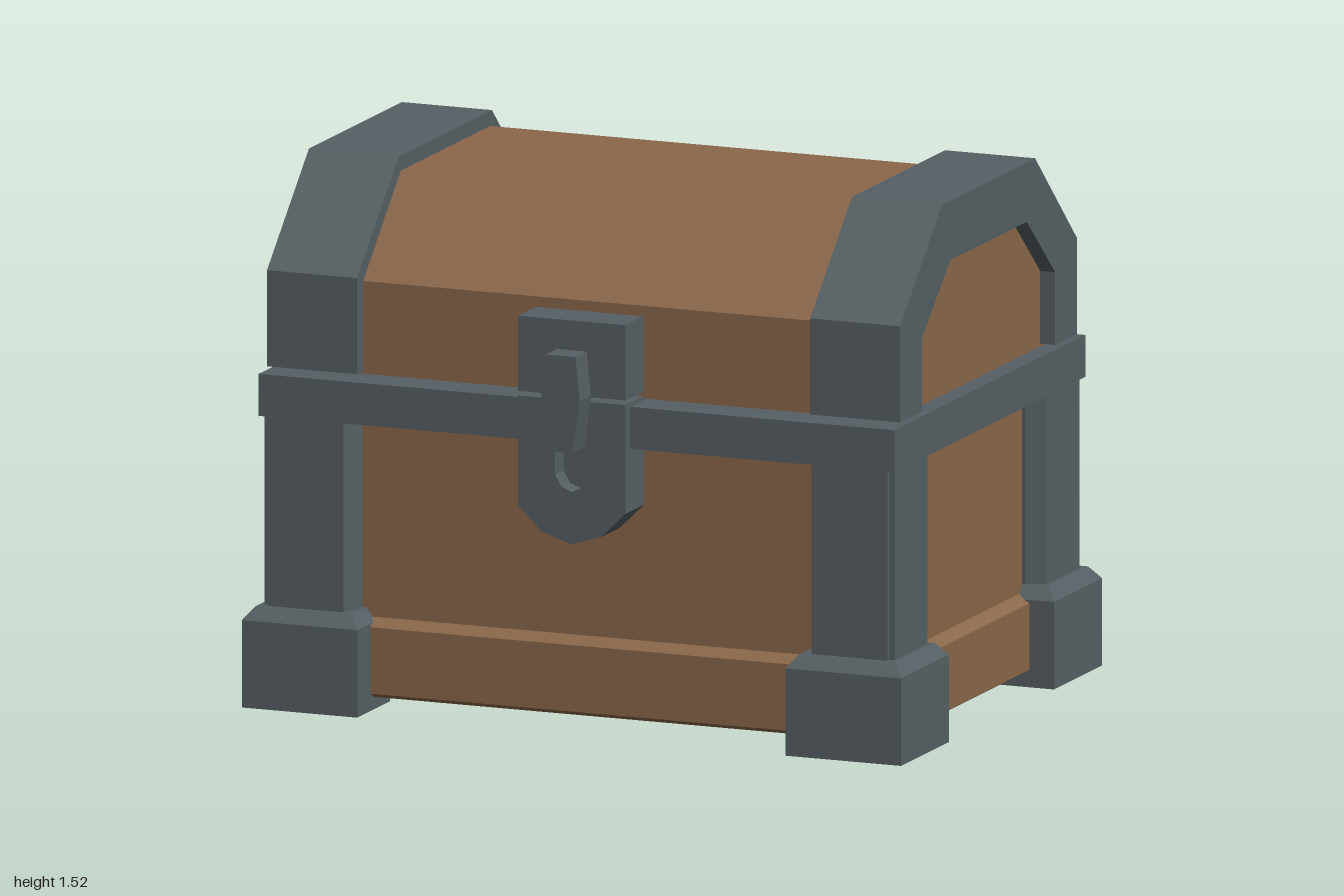
import * as THREE from 'three';

const wood = new THREE.MeshStandardMaterial({ color: 0x8a674a });
wood.name = 'wood';
const iron = new THREE.MeshStandardMaterial({ color: 0x555f63 });
iron.name = 'iron';

// Flat-sided solid through stacked outlines: rings = [[y, [[x, z], ...]], ...] from bottom to top
function loft(rings) {
  const flip = THREE.ShapeUtils.isClockWise(rings[0][1].map(([x, z]) => new THREE.Vector2(x, z)));
  const loops = rings.map(([y, pts]) => {
    const loop = pts.map(([x, z]) => new THREE.Vector3(x, y, z));
    return flip ? loop.reverse() : loop;
  });
  const out = [];
  const tri = (...vs) => vs.forEach((v) => out.push(v.x, v.y, v.z));
  const n = loops[0].length;
  for (let r = 0; r + 1 < loops.length; r++) {
    const lo = loops[r], hi = loops[r + 1];
    for (let i = 0; i < n; i++) {
      const j = (i + 1) % n;
      tri(lo[i], hi[i], hi[j]);
      tri(lo[i], hi[j], lo[j]);
    }
  }
  const cap = (loop, up) => {
    const flat = loop.map((v) => new THREE.Vector2(v.x, v.z));
    for (const [a, b, c] of THREE.ShapeUtils.triangulateShape(flat, [])) {
      if (up) tri(loop[a], loop[c], loop[b]);
      else tri(loop[a], loop[b], loop[c]);
    }
  };
  cap(loops[0], false);
  cap(loops[loops.length - 1], true);
  const g = new THREE.BufferGeometry();
  g.setAttribute('position', new THREE.Float32BufferAttribute(out, 3));
  g.computeVertexNormals();
  return g;
}

const rect = (x, z) => [[-x, -z], [x, -z], [x, z], [-x, z]];
const shapeOf = (pts) => new THREE.Shape(pts.map(([x, y]) => new THREE.Vector2(x, y)));
const extrude = (shape, depth) => new THREE.ExtrudeGeometry(shape, { depth, bevelEnabled: false });
// Profile drawn in (z, y), extruded along x and centred
const extrudeX = (pts, w) => extrude(shapeOf(pts), w).translate(0, 0, -w / 2).rotateY(Math.PI / 2);
const arch = (z, y0, yShoulder, zTop, yTop) =>
  [[z, y0], [z, yShoulder], [zTop, yTop], [-zTop, yTop], [-z, yShoulder], [-z, y0]];

export function createModel() {
  const model = new THREE.Group();
  model.name = 'chest';
  const add = (name, geometry, material, parent = model) => {
    const m = new THREE.Mesh(geometry, material);
    m.name = name;
    parent.add(m);
    return m;
  };
  const box = (name, x0, x1, y0, y1, z0, z1, parent) =>
    add(name, new THREE.BoxGeometry(x1 - x0, y1 - y0, z1 - z0)
      .translate((x0 + x1) / 2, (y0 + y1) / 2, (z0 + z1) / 2), iron, parent);

  const shell = new THREE.Group();
  shell.name = 'shell';
  shell.position.z = -0.005;
  model.add(shell);

  // Wooden body with a stepped base
  add('body', loft([
    [0.035, rect(0.9, 0.6)], [0.05, rect(0.925, 0.63)], [0.24, rect(0.925, 0.63)],
    [0.262, rect(0.89, 0.59)], [0.945, rect(0.89, 0.59)],
  ]), wood, shell);

  // Wooden lid
  add('lid', extrudeX(arch(0.592, 0.955, 1.22, 0.322, 1.482), 1.83), wood, shell);

  // Iron rail around the rim
  const rail = shapeOf(rect(0.965, 0.688));
  rail.holes.push(new THREE.Path(rect(0.86, 0.56).map(([x, y]) => new THREE.Vector2(x, y))));
  add('rimRail', extrude(rail, 0.12).rotateX(-Math.PI / 2).translate(0, 0.83, 0), iron, shell);

  // Arched iron bands at both ends of the lid
  const band = [...arch(0.637, 0.962, 1.237, 0.335, 1.525),
    ...arch(0.48, 0.962, 1.17, 0.275, 1.355).reverse()];
  for (const s of [-1, 1]) {
    add('lidBand', extrudeX(band, 0.273).translate(s * 0.824, 0, 0), iron, shell);
  }

  // L-shaped corner posts and feet
  const post = [[0.69, 0.56], [0.69, 0.6], [0.71, 0.68], [0.94, 0.68], [0.94, 0.665],
    [0.957, 0.665], [0.957, 0.43], [0.9, 0.41], [0.86, 0.41], [0.86, 0.56]];
  const foot = (i) => [[0.65 + i, 0.49], [0.65 + i, 0.724 - i], [1 - i, 0.724 - i],
    [1 - i, 0.378 + i], [0.77, 0.378 + i], [0.77, 0.49]];
  for (const sx of [-1, 1]) for (const sz of [-1, 1]) {
    const at = (pts) => pts.map(([x, z]) => [sx * x, sz * z]);
    add('cornerPost', loft([[0.26, at(post)], [0.84, at(post)]]), iron, shell);
    add('foot', loft([[0, at(foot(0))], [0.25, at(foot(0))], [0.287, at(foot(0.03))]]), iron, shell);
  }

  // Front clasp: upper block, slotted lower plate and hasp
  const clasp = new THREE.Group();
  clasp.name = 'clasp';
  model.add(clasp);
  box('claspUpperBlock', -0.163, 0.163, 0.975, 1.19, 0.57, 0.716, clasp);
  const outline = [[-0.163, 0.962], [-0.163, 0.65], [-0.09, 0.578], [0, 0.55],
    [0.09, 0.578], [0.163, 0.65], [0.163, 0.962]];
  const plate = shapeOf(outline);
  plate.holes.push(new THREE.Path([[-0.05, 0.94], [0.05, 0.94], [0.05, 0.745], [0.03, 0.712],
    [0, 0.7], [-0.03, 0.712], [-0.05, 0.745]].map(([x, y]) => new THREE.Vector2(x, y))));
  add('claspLowerPlate', extrude(plate, 0.06).translate(0, 0, 0.658), iron, clasp);
  add('claspBacking', extrude(shapeOf(outline), 0.088).translate(0, 0, 0.57), iron, clasp);
  add('hasp', extrude(shapeOf([[-0.045, 1.105], [-0.058, 0.98], [-0.036, 0.83],
    [0.036, 0.83], [0.058, 0.98], [0.045, 1.105]]), 0.088).translate(0, 0, 0.71), iron, clasp);

  // Two rear hinges with hexagonal pins
  for (const s of [-1, 1]) {
    const hinge = new THREE.Group();
    hinge.name = 'hinge';
    hinge.position.x = s * 0.443;
    model.add(hinge);
    const leaf = (name, y0, y1) => add(name, extrudeX([[0.57, y0], [0.73, y0], [0.74, y0 + 0.01],
      [0.74, y1 - 0.01], [0.73, y1], [0.57, y1]].map(([z, y]) => [z, y]), 0.18)
      .rotateY(0), iron, hinge);
    leaf('hingeUpperLeaf', 0.962, 1.11);
    leaf('hingeLowerLeaf', 0.675, 0.88);
    const hex = (name, r, w) => add(name, new THREE.CylinderGeometry(r, r, w, 6).toNonIndexed()
      .rotateX(0).rotateZ(Math.PI / 2).translate(0, 0.893, -0.752), iron, hinge)
      .geometry.computeVertexNormals();
    hex('hingePin', 0.042, 0.35);
    hex('hingeKnuckle', 0.055, 0.18);
  }
  return model;
}
